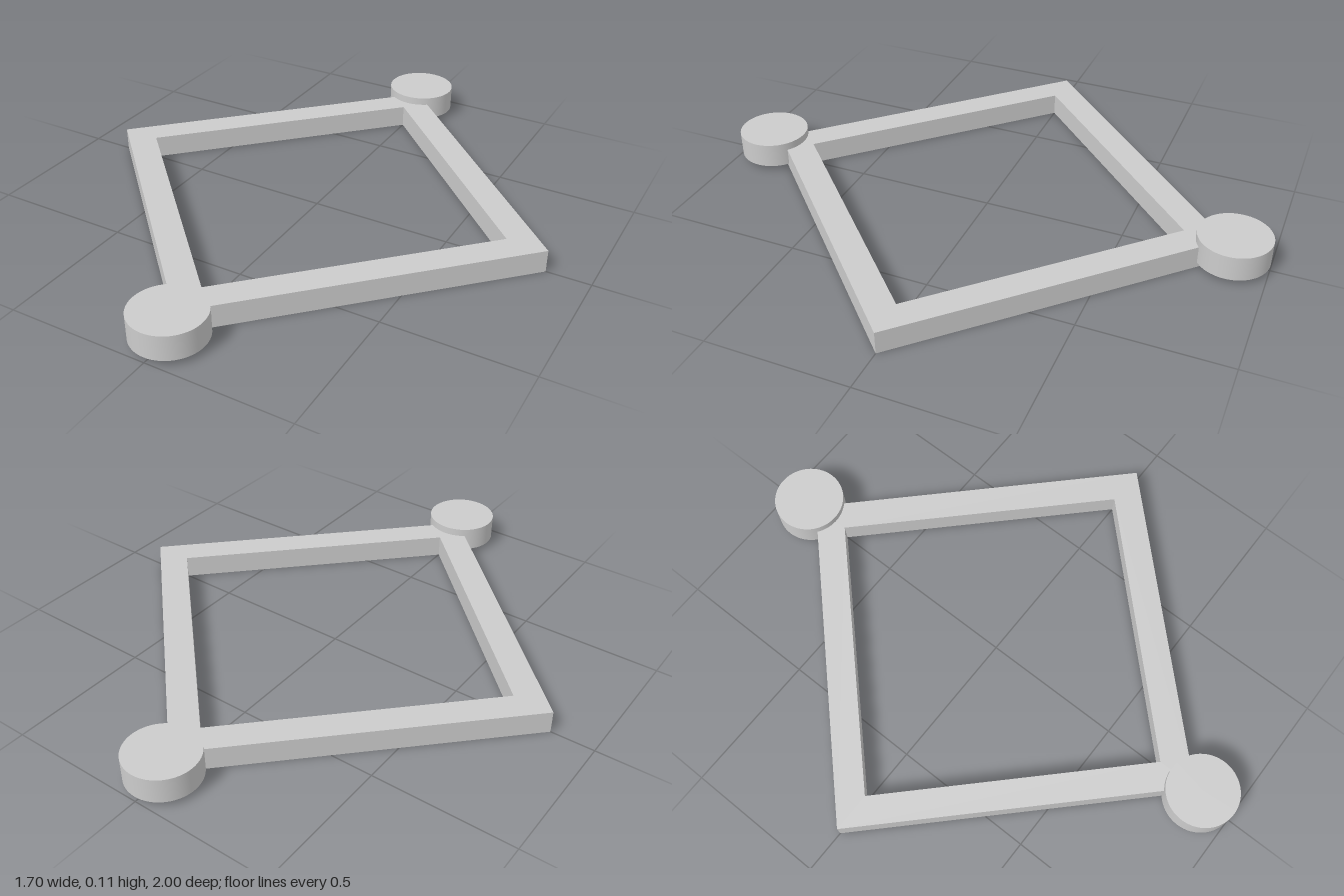
import * as THREE from 'three';

const OUTER = 0.848, INNER = 0.707, FRAME_HEIGHT = 0.08;
const DISC_RADIUS = 0.125, DISC_HEIGHT = 0.088, DISC_BOTTOM = 0.02;

// Square standing on its corner, given by its half diagonal
const diamond = (r) => [[r, 0], [0, r], [-r, 0], [0, -r]].map(([x, y]) => new THREE.Vector2(x, y));

export function createModel() {
  const model = new THREE.Group();
  model.name = 'diamondFrameWithDiscs';
  const material = new THREE.MeshStandardMaterial({ color: 0xcccccc });

  // Open frame lying flat
  const shape = new THREE.Shape(diamond(OUTER));
  shape.holes.push(new THREE.Path(diamond(INNER)));
  const frameGeometry = new THREE.ExtrudeGeometry(shape, { depth: FRAME_HEIGHT, bevelEnabled: false });
  frameGeometry.rotateX(-Math.PI / 2);
  const frame = new THREE.Mesh(frameGeometry, material);
  frame.name = 'frame';
  model.add(frame);

  // Raised discs on the front and back corners
  const discGeometry = new THREE.CylinderGeometry(DISC_RADIUS, DISC_RADIUS, DISC_HEIGHT, 64);
  for (const [name, side] of [['frontDisc', 1], ['backDisc', -1]]) {
    const disc = new THREE.Mesh(discGeometry, material);
    disc.name = name;
    disc.position.set(0, DISC_BOTTOM + DISC_HEIGHT / 2, side * (1 - DISC_RADIUS));
    model.add(disc);
  }
  return model;
}
